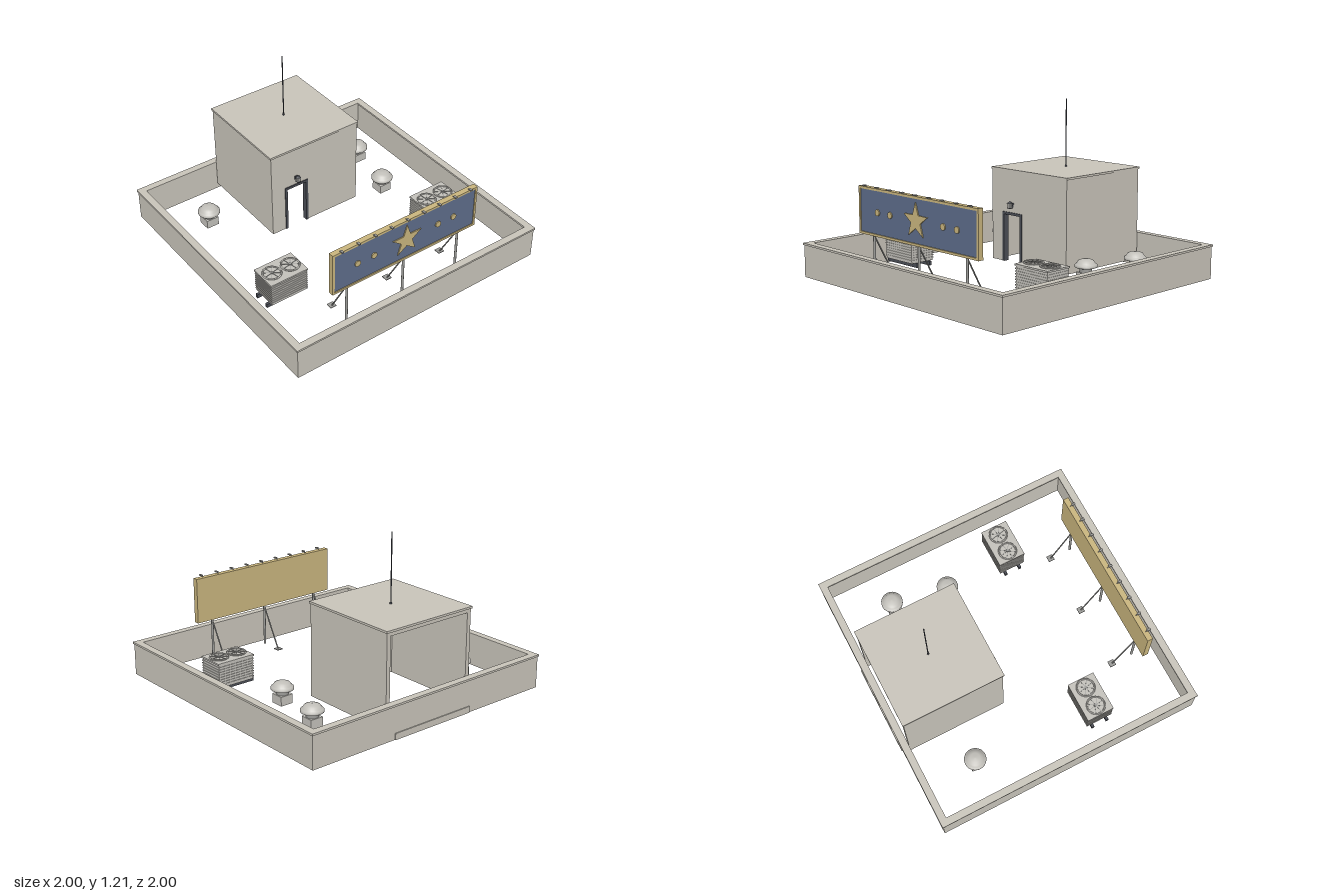
import * as THREE from 'three';

const mat = (name, color, side = THREE.FrontSide) => {
  const m = new THREE.MeshStandardMaterial({ color, side });
  m.name = name;
  return m;
};

export function createModel() {
  const root = new THREE.Group();
  root.name = 'rooftop';
  const concrete = mat('concrete', 0xc7c3b9);
  const gold = mat('gold', 0xc8b47d);
  const blue = mat('slate blue', 0x5d6c89);
  const metal = mat('light metal', 0xc2c0ba);
  const steel = mat('steel', 0x9a9a97);
  const dark = mat('dark metal', 0x4a4d55);
  const DECK = 0.05;

  const add = (parent, name, geo, material, x = 0, y = 0, z = 0) => {
    const m = new THREE.Mesh(geo, material);
    m.name = name;
    m.position.set(x, y, z);
    parent.add(m);
    return m;
  };
  // Box given by its lower and upper corners
  const box = (parent, name, material, a, b) =>
    add(parent, name, new THREE.BoxGeometry(b[0] - a[0], b[1] - a[1], b[2] - a[2]), material,
      (a[0] + b[0]) / 2, (a[1] + b[1]) / 2, (a[2] + b[2]) / 2);
  // Round bar between two points
  const bar = (parent, name, material, a, b, r, sides = 10) => {
    const p = new THREE.Vector3(...a), q = new THREE.Vector3(...b), d = q.clone().sub(p);
    const m = add(parent, name, new THREE.CylinderGeometry(r, r, d.length(), sides), material);
    m.position.copy(p).add(q).multiplyScalar(0.5);
    m.quaternion.setFromUnitVectors(new THREE.Vector3(0, 1, 0), d.normalize());
    return m;
  };
  const group = (name, x = 0, y = 0, z = 0) => {
    const g = new THREE.Group();
    g.name = name;
    g.position.set(x, y, z);
    root.add(g);
    return g;
  };

  // Square ring lying flat, extruded upwards
  const ring = (outer, inner, y0, y1) => {
    const square = (s, T) => new T([[-s, -s], [s, -s], [s, s], [-s, s]].map(p => new THREE.Vector2(...p)));
    const shape = square(outer, THREE.Shape);
    shape.holes.push(square(inner, THREE.Path));
    return new THREE.ExtrudeGeometry(shape, { depth: y1 - y0, bevelEnabled: false })
      .rotateX(-Math.PI / 2).translate(0, y0, 0);
  };

  // Parapet with coping
  const parapet = group('parapet');
  add(parapet, 'parapetWall', ring(0.993, 0.955, 0, 0.228), concrete);
  add(parapet, 'coping', ring(1, 0.948, 0.228, 0.242), concrete);
  box(parapet, 'rearSill', concrete, [-0.33, 0, -1], [0.33, 0.045, -0.99]);

  // Stair hut, open at the back
  const hut = group('stairHut');
  const front = new THREE.Shape([[-0.365, DECK], [-0.245, DECK], [-0.245, 0.4], [-0.075, 0.4],
    [-0.075, DECK], [0.365, DECK], [0.365, 0.707], [-0.365, 0.707]].map(p => new THREE.Vector2(...p)));
  add(hut, 'hutFront', new THREE.ExtrudeGeometry(front, { depth: 0.03, bevelEnabled: false }), concrete, 0, 0, -0.235);
  for (const s of [-1, 1]) {
    box(hut, 'hutSide', concrete, [s * 0.35 - 0.015, DECK, -0.945], [s * 0.35 + 0.015, 0.707, -0.235]);
  }
  box(hut, 'rearLintel', concrete, [-0.335, 0.68, -0.945], [0.335, 0.707, -0.915]);
  box(hut, 'hutRoof', concrete, [-0.372, 0.705, -0.952], [0.372, 0.72, -0.198]);
  for (const x of [-0.247, -0.073]) {
    box(hut, 'doorJamb', dark, [x - 0.009, DECK, -0.238], [x + 0.009, 0.41, -0.198]);
  }
  box(hut, 'doorHead', dark, [-0.238, 0.392, -0.238], [-0.082, 0.41, -0.198]);
  bar(hut, 'mast', dark, [0, 0.72, -0.58], [0, 1.205, -0.58], 0.004, 8);
  add(hut, 'mastFoot', new THREE.CylinderGeometry(0.008, 0.008, 0.012, 10), dark, 0, 0.725, -0.58);

  // Door lamp
  const lamp = group('doorLamp', -0.16, 0.465, -0.178);
  add(lamp, 'lampBody', new THREE.BoxGeometry(0.024, 0.034, 0.024), steel);
  add(lamp, 'lampCap', new THREE.ConeGeometry(0.022, 0.014, 4).rotateY(Math.PI / 4), dark, 0, 0.024, 0);
  add(lamp, 'lampBase', new THREE.BoxGeometry(0.028, 0.005, 0.028), dark, 0, -0.018, 0);
  bar(lamp, 'lampArm', dark, [0, 0, -0.01], [0, 0, -0.027], 0.004, 8);
  box(lamp, 'lampPlate', dark, [-0.012, -0.015, -0.029], [0.012, 0.015, -0.024]);

  // Mushroom vents
  const capProfile = [[0.001, 0.118], [0.072, 0.118], [0.078, 0.121], [0.078, 0.134], [0.07, 0.142],
    [0.064, 0.146], [0.054, 0.162], [0.034, 0.171], [0.001, 0.174]].map(p => new THREE.Vector2(...p));
  const ventProfile = capProfile.map(p => new THREE.Vector2(p.x, p.y - 0.02));
  for (const [x, z] of [[-0.66, -0.58], [0.66, -0.58], [0.58, -0.17]]) {
    const vent = group('roofVent', x, DECK, z);
    box(vent, 'ventCurb', metal, [-0.047, 0, -0.047], [0.047, 0.065, 0.047]);
    add(vent, 'ventNeck', new THREE.CylinderGeometry(0.042, 0.042, 0.04, 20), steel, 0, 0.083, 0);
    add(vent, 'ventCap', new THREE.LatheGeometry(ventProfile, 24), metal);
  }

  // Cooling units on skids, each with two fans and slatted sides
  for (const s of [-1, 1]) {
    const unit = group('coolingUnit', s * 0.66, 0, 0.33);
    box(unit, 'unitBody', metal, [-0.14, 0.08, -0.095], [0.14, 0.245, 0.095]);
    box(unit, 'unitTop', metal, [-0.147, 0.245, -0.101], [0.147, 0.257, 0.101]);
    for (const z of [-0.057, 0.057]) {
      box(unit, 'skid', dark, [-0.163, DECK, z - 0.01], [0.163, 0.08, z + 0.01]);
    }
    for (let i = 0; i < 8; i++) {
      const y = 0.097 + i * 0.018;
      box(unit, 'slat', metal, [-0.144, y, -0.099], [0.144, y + 0.007, 0.099]);
    }
    for (const x of [-0.073, 0.073]) {
      add(unit, 'fanPlate', new THREE.CylinderGeometry(0.063, 0.063, 0.005, 24), metal, x, 0.259, 0);
      add(unit, 'fanRim', new THREE.TorusGeometry(0.063, 0.006, 6, 28).rotateX(Math.PI / 2), metal, x, 0.263, 0);
      add(unit, 'fanHub', new THREE.CylinderGeometry(0.01, 0.01, 0.008, 12), steel, x, 0.265, 0);
      for (let i = 0; i < 4; i++) {
        add(unit, 'fanSpoke', new THREE.BoxGeometry(0.122, 0.003, 0.004), steel, x, 0.265, 0)
          .rotation.y = i * Math.PI / 4 + 0.2;
      }
    }
  }

  // Billboard
  const sign = group('billboard');
  box(sign, 'signBoard', gold, [-0.595, 0.347, 0.776], [0.595, 0.673, 0.808]);
  box(sign, 'signPanel', blue, [-0.578, 0.364, 0.806], [0.578, 0.656, 0.811]);
  for (const y of [0.347, 0.657]) box(sign, 'signFrame', gold, [-0.595, y, 0.806], [0.595, y + 0.016, 0.816]);
  for (const x of [-0.595, 0.579]) box(sign, 'signFrame', gold, [x, 0.363, 0.806], [x + 0.016, 0.657, 0.816]);
  const star = new THREE.Shape(Array.from({ length: 10 }, (_, i) => {
    const r = i % 2 ? 0.048 : 0.122, a = Math.PI / 2 + i * Math.PI / 5;
    return new THREE.Vector2(r * Math.cos(a), r * Math.sin(a));
  }));
  add(sign, 'star', new THREE.ExtrudeGeometry(star, { depth: 0.008, bevelEnabled: false }), gold, 0, 0.512, 0.811);
  for (const x of [-0.397, -0.265, 0.265, 0.397]) {
    add(sign, 'dot', new THREE.CylinderGeometry(0.022, 0.022, 0.008, 20).rotateX(Math.PI / 2), gold, x, 0.512, 0.815);
  }

  // Lamps along the top of the billboard
  for (let i = 0; i < 9; i++) {
    const x = (i - 4) * 0.132;
    bar(sign, 'signLampArm', steel, [x, 0.67, 0.796], [x, 0.682, 0.812], 0.003, 6);
    box(sign, 'signLamp', steel, [x - 0.008, 0.677, 0.808], [x + 0.008, 0.685, 0.834]);
  }

  // Posts, braces and foot plates
  for (const x of [-0.465, 0, 0.465]) {
    bar(sign, 'signPost', steel, [x, DECK, 0.79], [x, 0.35, 0.79], 0.009);
    bar(sign, 'signBrace', steel, [x, 0.335, 0.786], [x, DECK + 0.004, 0.632], 0.005, 8);
    box(sign, 'footPlate', steel, [x - 0.023, DECK, 0.605], [x + 0.023, DECK + 0.006, 0.651]);
  }
  return root;
}
